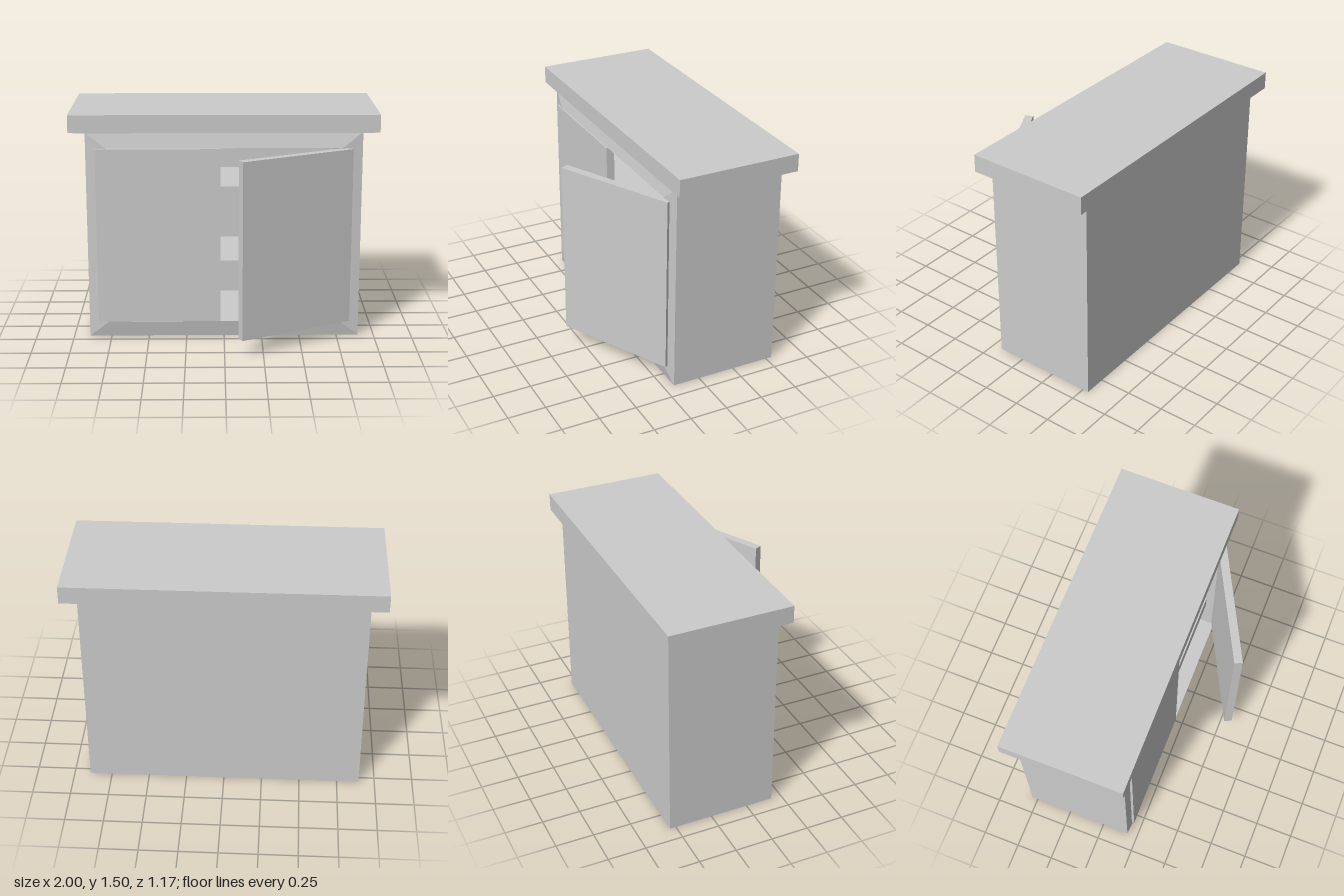
import * as THREE from 'three';

const material = new THREE.MeshStandardMaterial({ color: 0xcccccc, flatShading: true });

function addBox(parent, name, [w, h, d], [x, y, z]) {
  const mesh = new THREE.Mesh(new THREE.BoxGeometry(w, h, d), material);
  mesh.name = name;
  mesh.position.set(x, y, z);
  parent.add(mesh);
  return mesh;
}

// Skins a series of rectangles [halfWidth, bottom, top, z] and caps both ends.
function rectLoft(sections) {
  const rings = sections.map(([w, b, t, z]) => [[-w, b, z], [w, b, z], [w, t, z], [-w, t, z]]);
  const positions = [];
  const quad = (a, b, c, d) => positions.push(...a, ...b, ...c, ...a, ...c, ...d);
  for (let i = 0; i < rings.length - 1; i++) {
    for (let j = 0; j < 4; j++) {
      const k = (j + 1) % 4;
      quad(rings[i][j], rings[i][k], rings[i + 1][k], rings[i + 1][j]);
    }
  }
  quad(...[...rings[0]].reverse());
  quad(...rings[rings.length - 1]);
  const geometry = new THREE.BufferGeometry();
  geometry.setAttribute('position', new THREE.Float32BufferAttribute(positions, 3));
  geometry.computeVertexNormals();
  return geometry;
}

// Door hung on its outer front edge; side is +1 for the left door, -1 for the right.
function addDoor(parent, name, side, hingeZ, angle) {
  const width = 0.81, height = 1.17, thickness = 0.054;
  const hinge = new THREE.Group();
  hinge.name = name;
  hinge.position.set(side * 0.833, 0.695, hingeZ);
  hinge.rotation.y = side * angle;
  addBox(hinge, name + 'Panel', [width, height, thickness], [-side * width / 2, 0, -thickness / 2]);
  parent.add(hinge);
}

export function createModel() {
  const model = new THREE.Group();
  model.name = 'cabinet';

  // Hollow carcass: outer walls, raised sloping front frame, then the cavity
  const carcass = new THREE.Mesh(rectLoft([
    [0.895, 0, 1.388, -0.54],
    [0.895, 0, 1.388, 0.18],
    [0.765, 0.107, 1.285, 0.202],
    [0.765, 0.107, 1.285, -0.43],
  ]), material);
  carcass.name = 'carcass';
  model.add(carcass);

  // Overhanging top with a very thin lip beneath it
  addBox(model, 'countertop', [2, 0.115, 0.805], [0, 1.4475, -0.1825]);
  addBox(model, 'countertopLip', [1.94, 0.006, 0.765], [0, 1.387, -0.1825]);

  // Two thick shelves inside
  for (const y of [0.45, 0.955]) {
    addBox(model, 'shelf', [1.53, 0.117, 0.56], [0, y, -0.15]);
  }

  // Right door closed, left door ajar
  addDoor(model, 'rightDoor', -1, 0.207, 0);
  addDoor(model, 'leftDoor', 1, 0.21, THREE.MathUtils.degToRad(27.3));

  return model;
}
